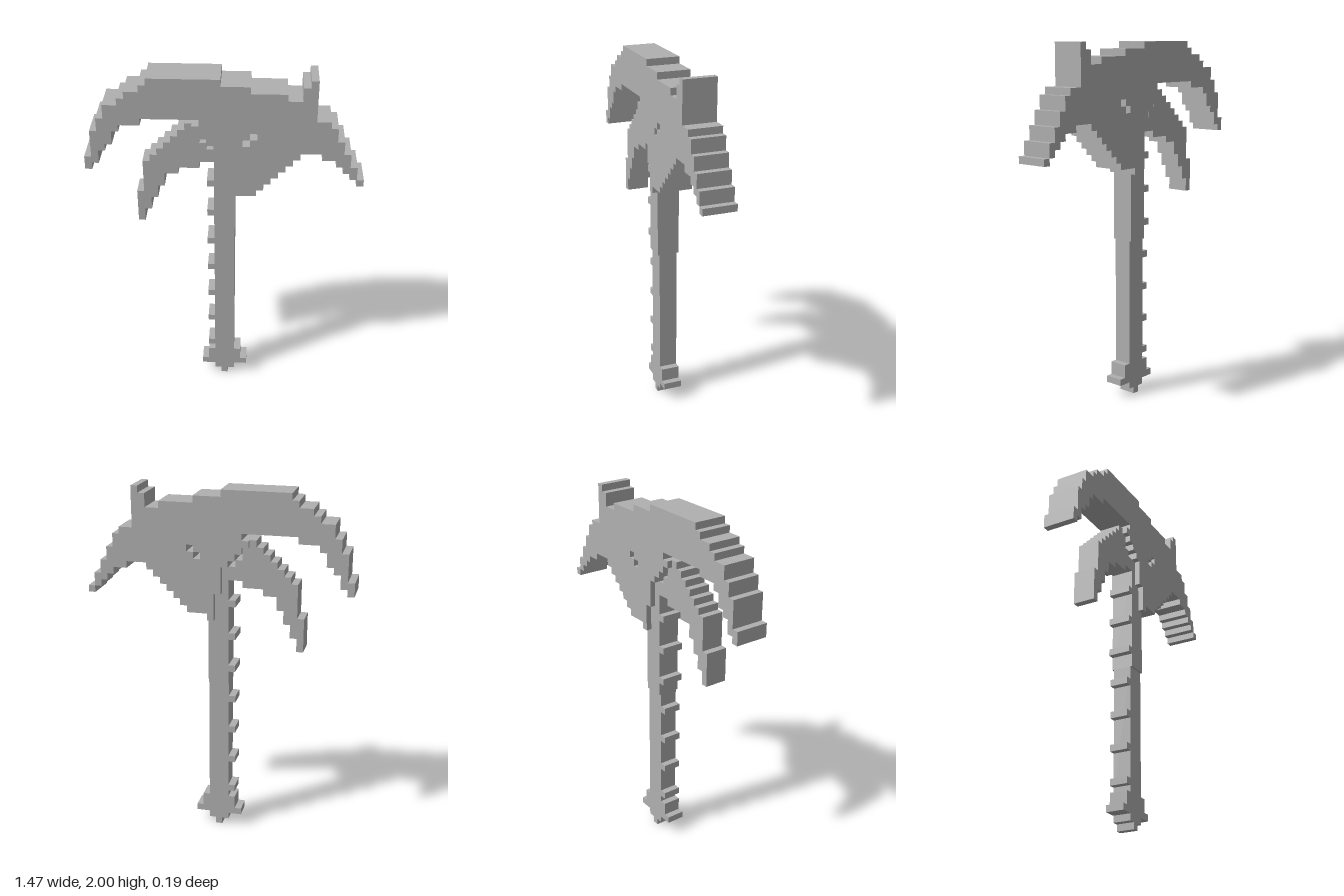
import * as THREE from 'three';

// The model lies on a grid of square cells: 39 wide, 53 high.
const CELL = 2 / 53;
const gx = (c) => (c - 19.5) * CELL;
const gy = (r) => r * CELL;

// Stepped outline: column, row, then alternately the next column and the next row.
function trace(path, steps) {
  let [c, r] = steps;
  path.moveTo(gx(c), gy(r));
  for (let i = 2; i < steps.length; i++) {
    if (i % 2 === 0) c = steps[i];
    else r = steps[i];
    path.lineTo(gx(c), gy(r));
  }
  path.closePath();
  return path;
}

export function createModel() {
  const group = new THREE.Group();
  const grey = new THREE.MeshStandardMaterial({ color: 0xb0b0b0 });
  grey.name = 'grey';

  function slab(name, steps, depth, holes = []) {
    const shape = trace(new THREE.Shape(), steps);
    for (const h of holes) shape.holes.push(trace(new THREE.Path(), h));
    const geo = new THREE.ExtrudeGeometry(shape, { depth, bevelEnabled: false });
    geo.translate(0, 0, -depth / 2);
    const mesh = new THREE.Mesh(geo, grey);
    mesh.name = name;
    group.add(mesh);
  }

  const headDepth = 0.185, upperDepth = 0.125, lowerDepth = 0.103;

  // Broad head: long left arm, spiked right arm and two small square holes
  slab('head', [
    // left arm, outer edge
    0, 39, 0, 41, 1, 45, 2, 47, 3, 49, 5, 50, 6, 51, 8, 52, 9, 53,
    // top and spike
    19, 52, 23, 51, 28, 50, 30, 52, 31, 53, 32, 47,
    // right arm, outer edge then underside
    34, 46, 35, 44, 36, 42, 37, 40, 38, 38, 39, 37, 38, 38, 37, 39,
    36, 40, 35, 41, 33, 42,
    // belly of the blade
    30, 41, 29, 40, 28, 39, 27, 38, 26, 37, 25, 36, 24, 35, 21, 34,
    // edge beside the handle
    20, 38, 19, 42, 18, 43, 17, 44, 16, 45, 15, 46, 16, 47,
    // left arm, underside
    8, 46, 5, 45, 4, 43, 3, 42, 2, 40, 1, 39,
  ], headDepth, [
    [23, 44, 24, 45, 23, 44],
    [22, 43, 23, 44, 22, 43],
  ]);

  // Upper handle with the smaller curved frond
  slab('upperHandle', [
    18, 24, 21, 42, 17, 43, 16, 45, 15, 46, 14, 45, 13, 44, 12, 43,
    11, 42, 10, 41, 9, 40, 8, 35, 7, 30, 8, 32, 9, 34, 10, 36,
    11, 38, 13, 39, 16, 40, 18, 24,
  ], upperDepth);

  // Lower handle with the stepped pommel
  slab('lowerHandle', [
    19, 0, 20, 1, 21, 2, 23, 3, 22, 5, 21, 24, 18, 5, 17, 3, 16, 2, 18, 1, 19, 0,
  ], lowerDepth);

  // Evenly spaced teeth along the back of the handle
  for (let r = 6; r <= 36; r += 5) {
    const depth = r >= 24 ? upperDepth : lowerDepth;
    const tooth = new THREE.Mesh(new THREE.BoxGeometry(CELL, CELL, depth), grey);
    tooth.name = 'handleTooth';
    tooth.position.set(gx(17.5), gy(r + 0.5), 0);
    group.add(tooth);
  }

  return group;
}
